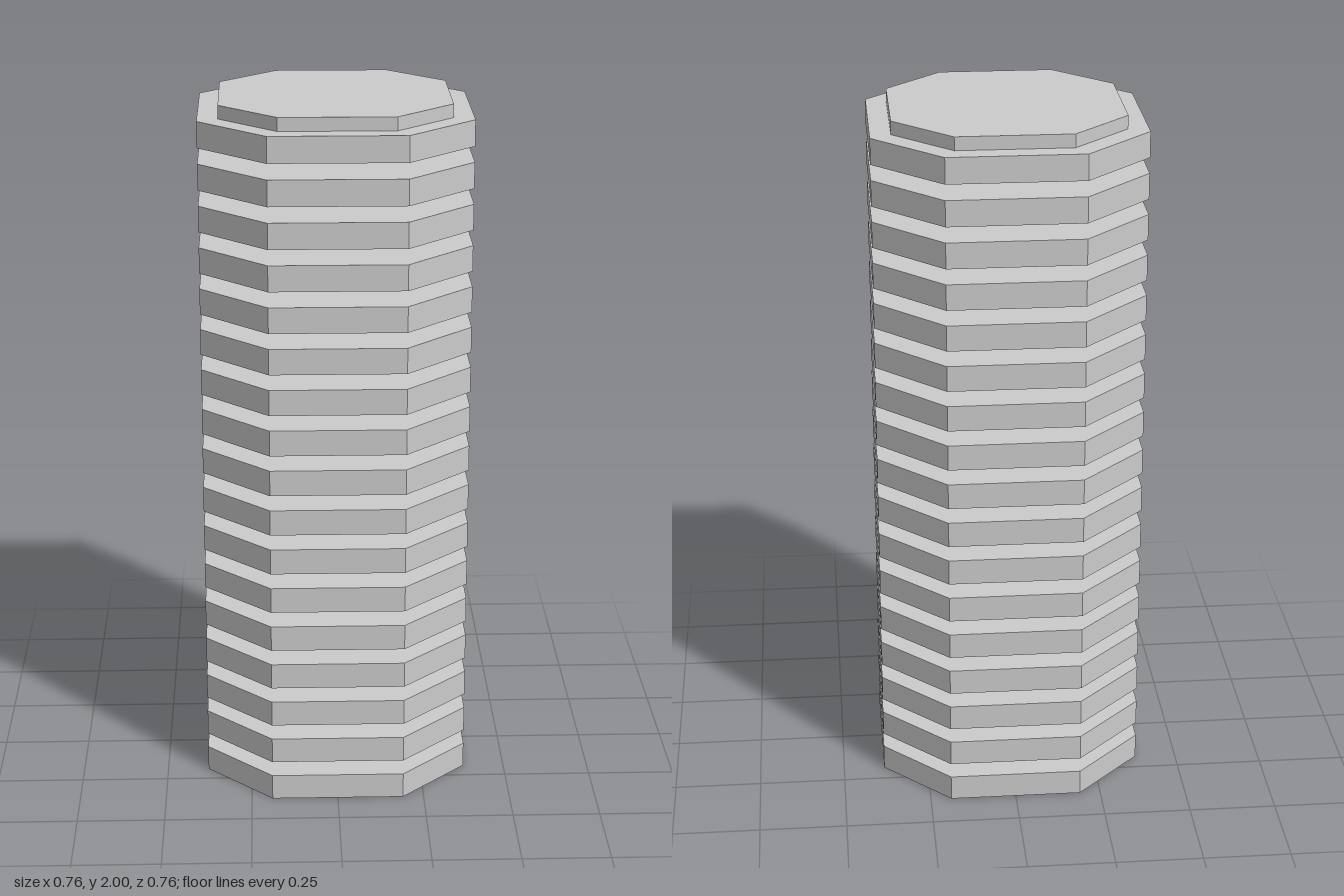
import * as THREE from 'three';

const SLABS = 17;
const SLAB_HEIGHT = 0.074;
const PITCH = 0.118;

// Square plate with its corners cut off halfway, standing on y = 0
function plateGeometry(r, height) {
  const c = r / 2;
  const shape = new THREE.Shape([
    [r, -c], [r, c], [c, r], [-c, r], [-r, c], [-r, -c], [-c, -r], [c, -r],
  ].map(([x, y]) => new THREE.Vector2(x, y)));
  const geometry = new THREE.ExtrudeGeometry(shape, { depth: height, bevelEnabled: false });
  return geometry.rotateX(-Math.PI / 2);
}

export function createModel() {
  const model = new THREE.Group();
  model.name = 'slabStack';
  const material = new THREE.MeshStandardMaterial({ color: 0xcccccc, flatShading: true });

  // Evenly spaced separate slabs
  const slabGeometry = plateGeometry(0.38, SLAB_HEIGHT);
  for (let i = 0; i < SLABS; i++) {
    const slab = new THREE.Mesh(slabGeometry, material);
    slab.name = `slab${i + 1}`;
    slab.position.y = i * PITCH;
    model.add(slab);
  }

  // Smaller cap resting on the top slab
  const capBase = (SLABS - 1) * PITCH + SLAB_HEIGHT;
  const cap = new THREE.Mesh(plateGeometry(0.322, 2 - capBase), material);
  cap.name = 'topCap';
  cap.position.y = capBase;
  model.add(cap);

  return model;
}
